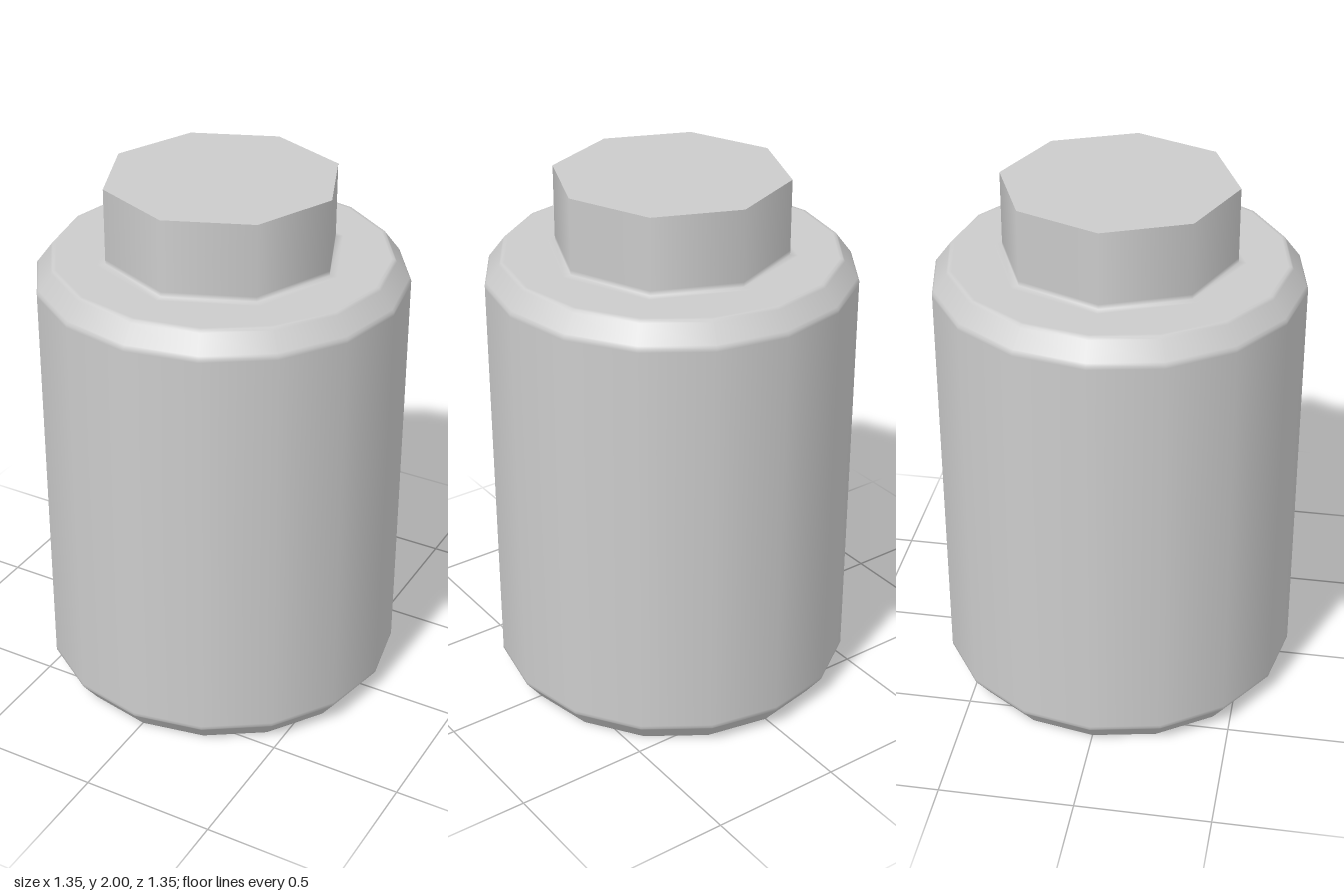
import * as THREE from 'three';

const material = new THREE.MeshStandardMaterial({ color: 0xcccccc });

// Adds points a small distance either side of each corner, so smooth normals stay tight there
function tightCorners(corners, gap) {
  const points = [];
  const v = corners.map(([r, y]) => new THREE.Vector2(r, y));
  v.forEach((p, i) => {
    const toward = (q) => p.clone().add(q.clone().sub(p).setLength(gap));
    if (i > 0 && i < v.length - 1) points.push(toward(v[i - 1]), p, toward(v[i + 1]));
    else points.push(p);
  });
  return points;
}

function lathe(name, points, sides) {
  const mesh = new THREE.Mesh(new THREE.LatheGeometry(points, sides), material);
  mesh.name = name;
  return mesh;
}

export function createModel() {
  const group = new THREE.Group();
  group.name = 'pluggedSleeve';

  // Hollow body: bore ceiling, bore wall, bottom rim, chamfers, outer wall, top shoulder
  const body = tightCorners([
    [0, 1.5], [0.475, 1.5], [0.475, 0],
    [0.615, 0], [0.676, 0.08],
    [0.676, 1.635], [0.615, 1.715],
    [0.38, 1.715],
  ], 0.012);
  group.add(lathe('body', body, 16));

  // Octagonal neck wall with a narrow blended foot on the shoulder
  const neck = [[0.455, 1.716], [0.427, 1.717], [0.427, 1.735], [0.427, 2]]
    .map(([r, y]) => new THREE.Vector2(r, y));
  group.add(lathe('neck', neck, 8));

  // Flat cap closing the neck with a sharp edge
  const cap = new THREE.Mesh(new THREE.CircleGeometry(0.427, 8), material);
  cap.name = 'neckCap';
  cap.rotation.x = -Math.PI / 2;
  cap.position.y = 2;
  group.add(cap);

  return group;
}
